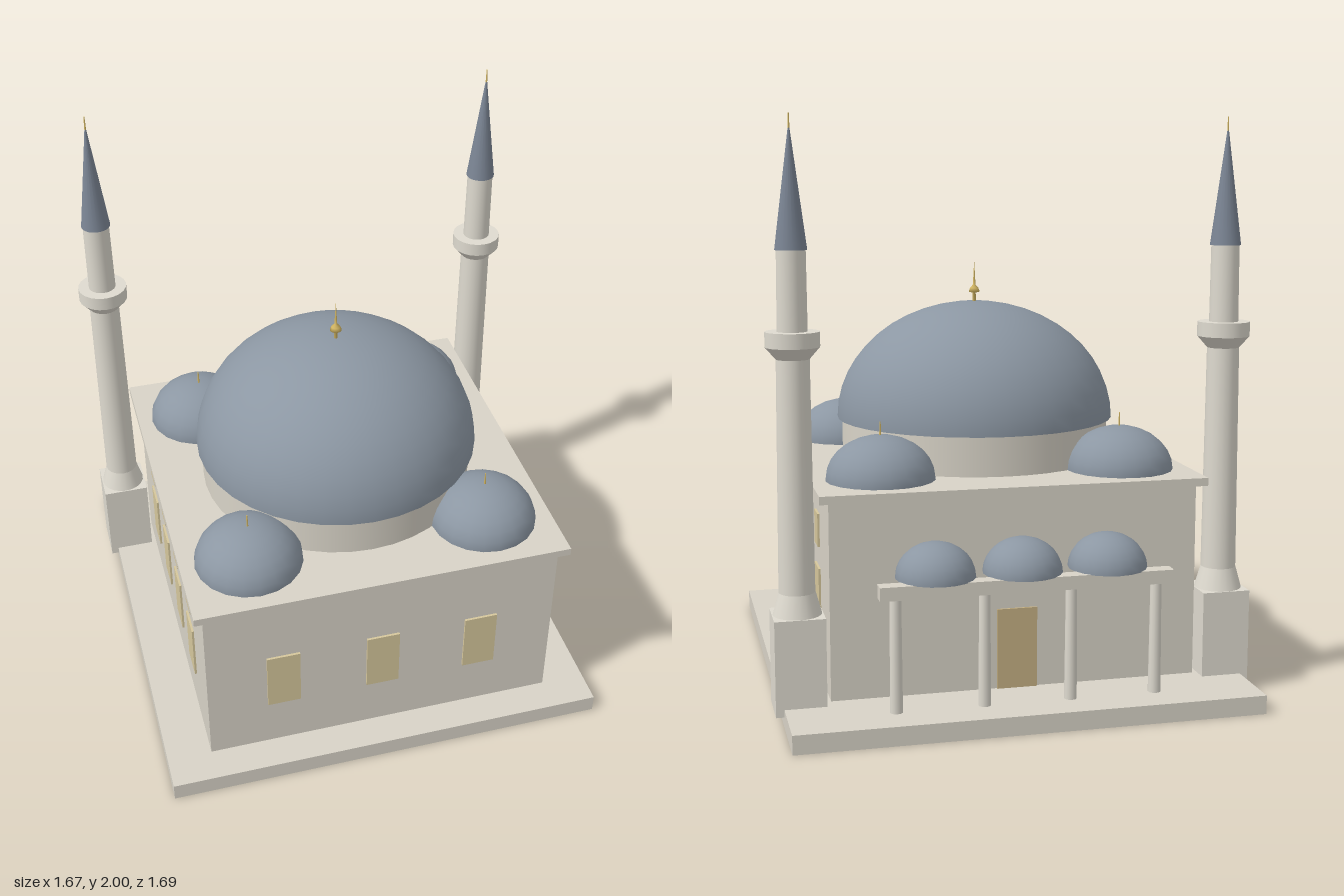
import * as THREE from 'three';

const mat = (name, color, side = THREE.FrontSide) => {
  const m = new THREE.MeshStandardMaterial({ color, side });
  m.name = name;
  return m;
};

export function createModel() {
  const stone = mat('stone', 0xd8d3c7);
  const paleStone = mat('paleStone', 0xdedacf);
  const lead = mat('lead', 0x8c97a3, THREE.DoubleSide);
  const spireLead = mat('spireLead', 0x7c8695);
  const glass = mat('windowAmber', 0xd6c79c);
  const wood = mat('doorWood', 0xc6b183);
  const gold = mat('gold', 0xd2b664);

  const model = new THREE.Group();
  model.name = 'domedHall';
  const CZ = 0.08; // centre of the hall along z

  const add = (parent, name, geo, material, x, y, z) => {
    const mesh = new THREE.Mesh(geo, material);
    mesh.name = name;
    mesh.position.set(x, y, z);
    parent.add(mesh);
    return mesh;
  };
  const box = (parent, name, w, y0, y1, d, material, x = 0, z = 0) =>
    add(parent, name, new THREE.BoxGeometry(w, y1 - y0, d), material, x, (y0 + y1) / 2, z);
  const cyl = (parent, name, rTop, rBottom, y0, y1, sides, material, x = 0, z = 0) =>
    add(parent, name, new THREE.CylinderGeometry(rTop, rBottom, y1 - y0, sides), material, x, (y0 + y1) / 2, z);
  // Flattened half sphere standing on height y
  const dome = (parent, name, r, h, sides, x, y, z) => {
    const geo = new THREE.SphereGeometry(r, sides, Math.ceil(sides / 3), 0, Math.PI * 2, 0, Math.PI / 2);
    geo.scale(1, h / r, 1);
    return add(parent, name, geo, lead, x, y, z);
  };

  // Plinth, hall and cornice
  box(model, 'plinth', 1.6, 0, 0.065, 1.69, stone);
  box(model, 'hall', 1.28, 0.065, 0.742, 1.29, stone, 0, CZ);
  box(model, 'cornice', 1.346, 0.742, 0.77, 1.35, stone, 0, CZ);

  // Main dome on its drum, with finial
  cyl(model, 'drum', 0.495, 0.495, 0.77, 0.912, 40, stone, 0, CZ);
  dome(model, 'mainDome', 0.513, 0.428, 36, 0, 0.912, CZ);
  const finial = [[0, 1.33], [0.006, 1.33], [0.006, 1.37], [0.021, 1.374], [0.016, 1.388],
    [0.005, 1.4], [0.004, 1.42], [0, 1.49]].map(([r, y]) => new THREE.Vector2(r, y));
  add(model, 'mainFinial', new THREE.LatheGeometry(finial, 12), gold, 0, 0, CZ);

  // Four corner domes
  for (const sx of [-1, 1]) {
    for (const sz of [-1, 1]) {
      const x = 0.43 * sx, z = CZ + 0.43 * sz;
      dome(model, 'cornerDome', 0.191, 0.153, 20, x, 0.77, z);
      cyl(model, 'cornerFinial', 0.002, 0.004, 0.91, 0.97, 8, gold, x, z);
    }
  }

  // Front windows, and two rows on each side
  for (const x of [-0.365, 0, 0.365]) {
    box(model, 'frontWindow', 0.12, 0.26, 0.49, 0.009, glass, x, 0.729);
  }
  for (const sx of [-1, 1]) {
    for (let i = 0; i < 4; i++) {
      const z = 0.447 - i * 0.243;
      box(model, 'lowerSideWindow', 0.009, 0.242, 0.46, 0.11, glass, sx * 0.643, z);
      box(model, 'upperSideWindow', 0.009, 0.535, 0.652, 0.086, glass, sx * 0.643, z);
    }
  }

  // Rear door
  box(model, 'door', 0.14, 0.065, 0.345, 0.009, wood, 0, -0.568);

  // Rear portico
  const portico = new THREE.Group();
  portico.name = 'portico';
  model.add(portico);
  for (const x of [-0.445, -0.148, 0.148, 0.445]) {
    cyl(portico, 'porticoColumn', 0.019, 0.022, 0.065, 0.45, 12, paleStone, x, -0.713);
  }
  box(portico, 'porticoBeam', 1, 0.447, 0.493, 0.052, stone, 0, -0.713);
  for (const x of [-0.297, 0, 0.297]) {
    dome(portico, 'porticoDome', 0.135, 0.118, 20, x, 0.492, -0.638);
  }

  // Pair of minarets
  for (const sx of [-1, 1]) {
    const tower = new THREE.Group();
    tower.name = sx > 0 ? 'leftMinaret' : 'rightMinaret';
    tower.position.set(sx * 0.743, 0, -0.528);
    model.add(tower);
    box(tower, 'minaretBase', 0.17, 0.04, 0.365, 0.17, paleStone);
    cyl(tower, 'minaretCollar', 0.061, 0.082, 0.365, 0.44, 20, paleStone);
    cyl(tower, 'minaretShaft', 0.055, 0.061, 0.44, 1.23, 20, paleStone);
    cyl(tower, 'balconyCorbel', 0.09, 0.055, 1.215, 1.255, 20, paleStone);
    cyl(tower, 'balcony', 0.09, 0.09, 1.255, 1.305, 20, paleStone);
    cyl(tower, 'minaretUpperShaft', 0.048, 0.05, 1.305, 1.57, 20, paleStone);
    cyl(tower, 'spire', 0.002, 0.053, 1.567, 1.96, 20, spireLead);
    cyl(tower, 'spireTip', 0.002, 0.004, 1.92, 2, 8, gold);
  }
  return model;
}
